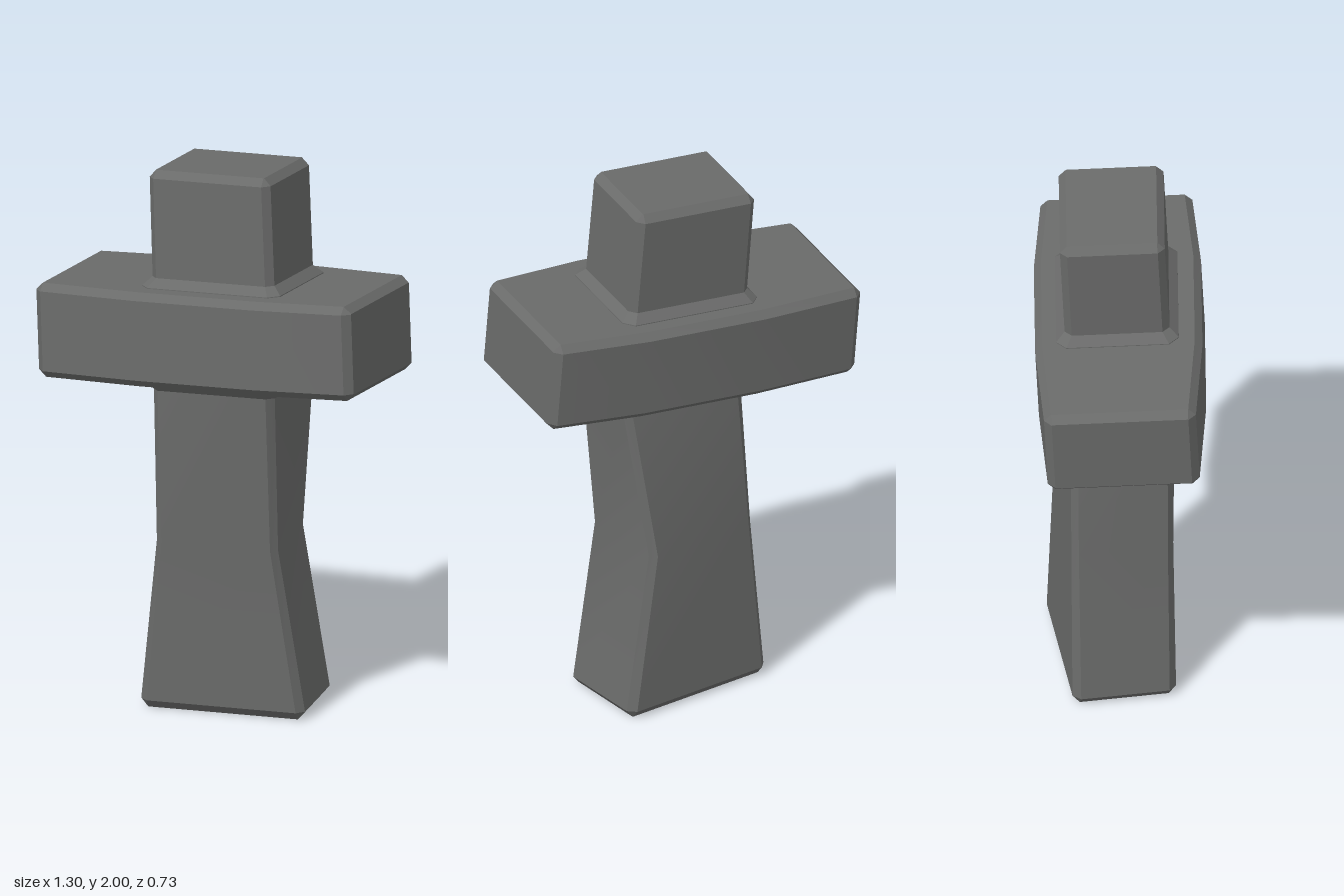
import * as THREE from 'three';
import { toCreasedNormals } from 'three/addons/utils/BufferGeometryUtils.js';

const material = new THREE.MeshStandardMaterial({ color: 0x6a6b6a });

// Rectangle with cut corners at height y, counterclockwise seen from above
function ring(x, y, z, hx, hz, cut, matrix) {
  const points = [
    [hx, hz - cut], [hx, cut - hz], [hx - cut, -hz], [cut - hx, -hz],
    [-hx, cut - hz], [-hx, hz - cut], [cut - hx, hz], [hx - cut, hz],
  ].map(([px, pz]) => new THREE.Vector3(x + px, y, z + pz));
  if (matrix) points.forEach((p) => p.applyMatrix4(matrix));
  return points;
}

// Closed solid through a stack of rings: gentle bends smooth, bevels sharp
function loft(name, rings) {
  const positions = [];
  const tri = (...points) => points.forEach((p) => positions.push(p.x, p.y, p.z));
  const n = rings[0].length;
  for (let i = 0; i < rings.length - 1; i++) {
    for (let k = 0; k < n; k++) {
      const j = (k + 1) % n;
      const [a, b, c, d] = [rings[i][k], rings[i][j], rings[i + 1][j], rings[i + 1][k]];
      tri(a, b, c);
      tri(a, c, d);
    }
  }
  const bottom = rings[0];
  const top = rings[rings.length - 1];
  for (let k = 1; k < n - 1; k++) {
    tri(bottom[0], bottom[k + 1], bottom[k]);
    tri(top[0], top[k], top[k + 1]);
  }
  const geometry = new THREE.BufferGeometry();
  geometry.setAttribute('position', new THREE.Float32BufferAttribute(positions, 3));
  const mesh = new THREE.Mesh(toCreasedNormals(geometry, 0.5), material);
  mesh.name = name;
  return mesh;
}

export function createModel() {
  const model = new THREE.Group();
  model.name = 'stoneCross';

  // Tilted, turned frame shared by the crossbar, head and shaft top
  const along = new THREE.Vector3(0.986, 0.058, 0.155).normalize();
  const up = new THREE.Vector3(-0.049, 1, -0.055);
  up.addScaledVector(along, -up.dot(along)).normalize();
  const forward = new THREE.Vector3().crossVectors(along, up);
  const tilt = new THREE.Matrix4().makeBasis(along, up, forward).setPosition(0, 1.387, 0);

  // Crossbar: lofted along its length, slightly wider in the middle
  const lay = tilt.clone().multiply(new THREE.Matrix4().makeRotationZ(-Math.PI / 2));
  const bar = [
    [-0.612, 0.146, 0.241, 0.002], [-0.585, 0.171, 0.268, 0.026],
    [-0.21, 0.171, 0.295, 0.026], [0.25, 0.171, 0.295, 0.026],
    [0.585, 0.171, 0.268, 0.026], [0.612, 0.146, 0.241, 0.002],
  ];
  model.add(loft('crossbar', bar.map(([y, hx, hz, c]) => ring(0, y, 0, hx, hz, c, lay))));

  // Head: upright block with a flared foot on the crossbar
  const head = [
    [0.15, 0.268, 0.216, 0.035], [0.174, 0.268, 0.216, 0.035], [0.204, 0.237, 0.185, 0.025],
    [0.565, 0.235, 0.185, 0.025], [0.592, 0.21, 0.16, 0.002],
  ];
  model.add(loft('head', head.map(([y, hx, hz, c]) => ring(0.04, y, -0.003, hx, hz, c, tilt))));

  // Shaft: square foot, narrow waist, turning into the crossbar's frame
  model.add(loft('shaft', [
    ring(0.035, 0, -0.025, 0.275, 0.16, 0.002),
    ring(0.035, 0.03, -0.025, 0.3, 0.185, 0.027),
    ring(0.015, 0.62, -0.023, 0.222, 0.182, 0.023),
    ring(0.028, -0.206, -0.002, 0.235, 0.183, 0.025, tilt),
    ring(0.03, -0.174, -0.002, 0.265, 0.213, 0.035, tilt),
    ring(0.03, -0.14, -0.002, 0.265, 0.213, 0.035, tilt),
  ]));

  return model;
}
